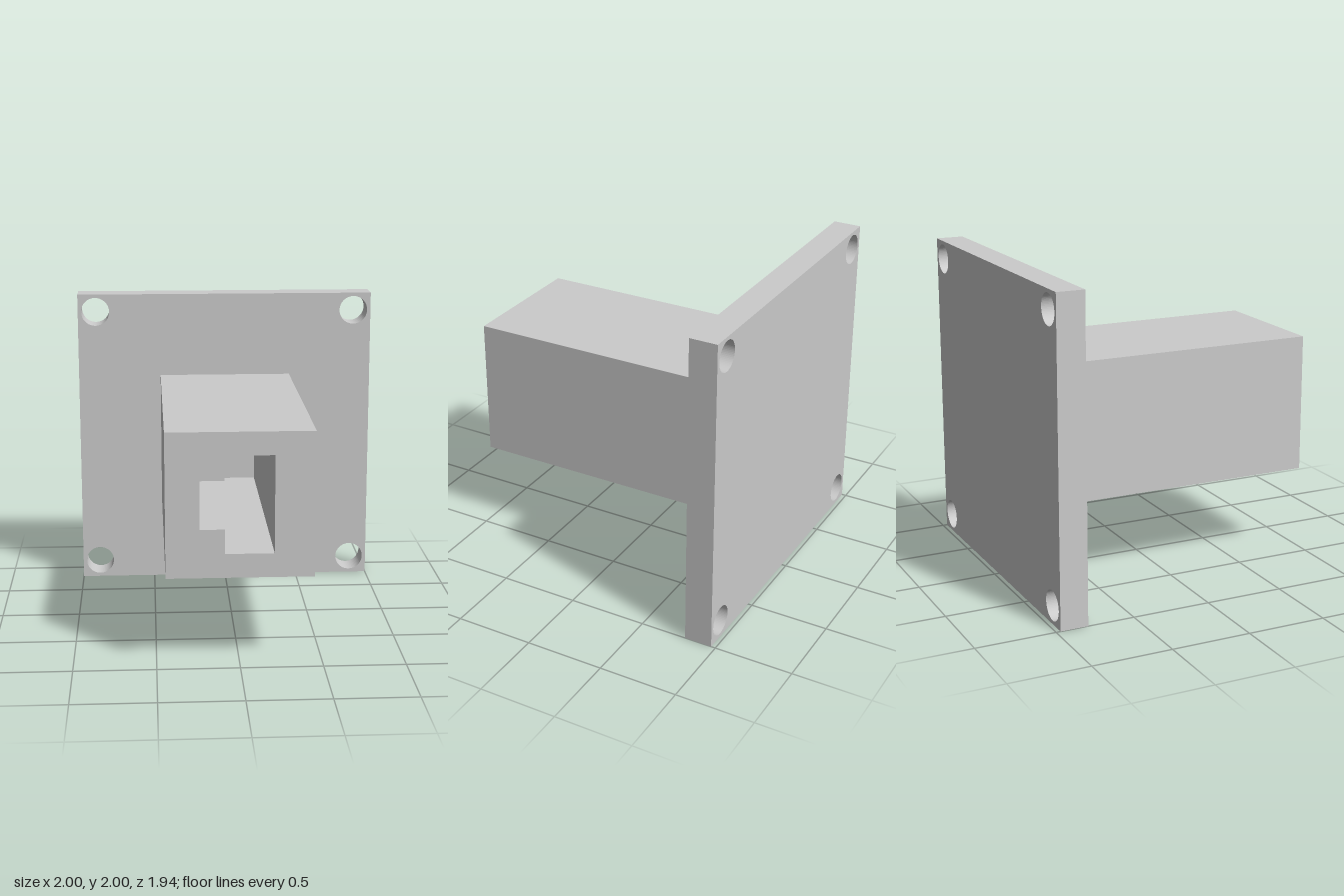
import * as THREE from 'three';

const material = new THREE.MeshStandardMaterial({ color: 0xcccccc });

function rectangle(w, h) {
  return new THREE.Shape([
    new THREE.Vector2(-w / 2, -h / 2), new THREE.Vector2(w / 2, -h / 2),
    new THREE.Vector2(w / 2, h / 2), new THREE.Vector2(-w / 2, h / 2),
  ]);
}

// Extrude an outline, centred on y = 1, between two depths
function slab(name, shape, zBack, zFront) {
  const geometry = new THREE.ExtrudeGeometry(shape, {
    depth: zFront - zBack, bevelEnabled: false, curveSegments: 32,
  });
  const mesh = new THREE.Mesh(geometry, material);
  mesh.name = name;
  mesh.position.set(0, 1, zBack);
  return mesh;
}

export function createModel() {
  const group = new THREE.Group();
  group.name = 'flangedSocket';
  const back = -0.972, plateFront = -0.796, front = 0.972;

  // Square mounting plate with a bolt hole in each corner
  const plate = rectangle(2, 2);
  for (const x of [-0.882, 0.882]) {
    for (const y of [-0.882, 0.882]) {
      plate.holes.push(new THREE.Path().absarc(x, y, 0.095, 0, Math.PI * 2, true));
    }
  }
  group.add(slab('mountingPlate', plate, back, plateFront));

  // Square block with a stepped socket running back to the plate
  const block = rectangle(0.884, 0.884);
  const socket = [
    [0.203, -0.295], [0.203, 0.3], [-0.092, 0.3], [-0.092, 0.15],
    [-0.24, 0.15], [-0.24, -0.145], [-0.092, -0.145], [-0.092, -0.295],
  ].map(([x, y]) => new THREE.Vector2(x, y));
  block.holes.push(new THREE.Path(socket));
  group.add(slab('socketBlock', block, plateFront, front));

  return group;
}
